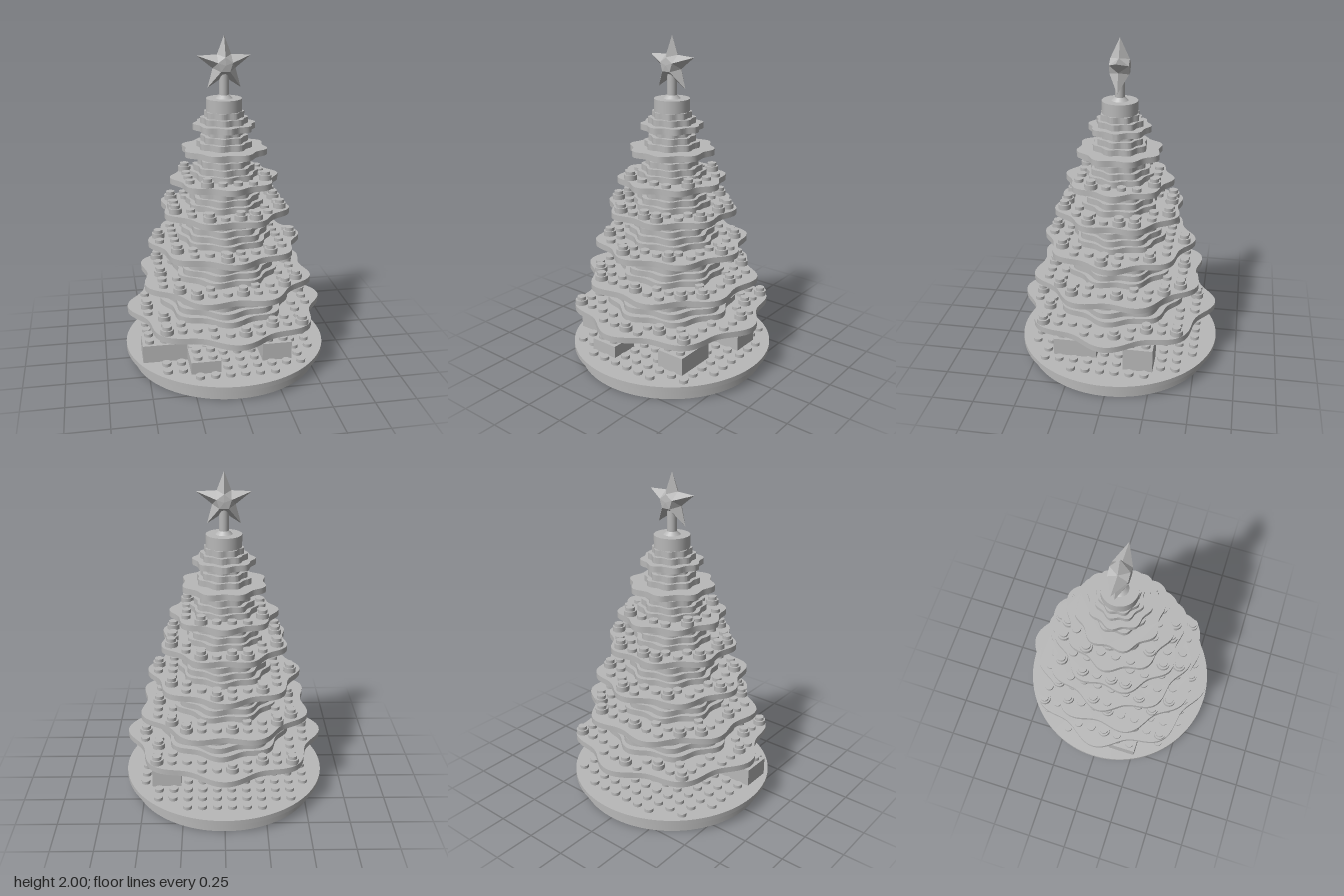
import * as THREE from 'three';
import { mergeGeometries, toCreasedNormals } from 'three/addons/utils/BufferGeometryUtils.js';

const PITCH = 0.0888, STEP = 0.0355, TREE_Y = 0.325, PLATE_TOP = 0.105;
const grey = new THREE.MeshStandardMaterial({ color: 0xb8b8b8 });
grey.name = 'plain grey';

// first layer index, tip radius, and radii of the lowest and highest step above it
const TIERS = [
  { at: 0, r: 0.605, from: 0.40, to: 0.265 },
  { at: 6, r: 0.535, from: 0.325, to: 0.22 },
  { at: 12, r: 0.465, from: 0.285, to: 0.182 },
  { at: 18, r: 0.395, from: 0.235, to: 0.158 },
  { at: 23, r: 0.325, from: 0.205, to: 0.135 },
  { at: 28, r: 0.257, from: 0.165, to: 0.115 },
  { at: 32, r: 0.185, from: 0.14, to: 0.118 },
  { at: 35 },
];
// round ornaments of each tier as grid cells, repeated every quarter turn
const ORNAMENTS = [
  [[4.5, 4.5], [0.5, 5.5], [-4.5, 2.5]],
  [[4.5, 2.5], [-3.5, 3.5], [0.5, 4.5]],
  [[4.5, 0.5], [-3.5, 2.5]],
  [[1.5, 3.5], [-1.5, 3.5], [0.5, 3.5]],
  [[-1.5, 2.5]], [], [],
];

// eight-lobed outline with its tips at radius r
const lobed = (r, phase, a) => r * (0.945 + 0.055 * Math.cos(8 * (a - phase)));

function lobedPlate(r, phase, y) {
  const pts = [];
  for (let i = 0; i < 128; i++) {
    const a = (i / 128) * Math.PI * 2, d = lobed(r, phase, a);
    pts.push(new THREE.Vector2(d * Math.cos(a), -d * Math.sin(a)));
  }
  const g = new THREE.ExtrudeGeometry(new THREE.Shape(pts), { depth: STEP, bevelEnabled: false });
  g.rotateX(-Math.PI / 2).translate(0, y, 0);
  return toCreasedNormals(g, 0.6);
}

function cylinder(r, y0, y1, x = 0, z = 0, sides = 16, rTop = r) {
  return new THREE.CylinderGeometry(rTop, r, y1 - y0, sides).translate(x, (y0 + y1) / 2, z);
}
const stud = (x, y, z) => cylinder(0.027, y, y + 0.02, x, z);

function add(group, name, geometries) {
  const m = new THREE.Mesh(geometries.length > 1 ? mergeGeometries(geometries) : geometries[0], grey);
  m.name = name;
  group.add(m);
}

// calls fn for every stud position of the grid
function eachCell(fn) {
  for (let i = -6.5; i <= 6.5; i++)
    for (let j = -6.5; j <= 6.5; j++) fn(i * PITCH, j * PITCH, i, j);
}

function buildBase(group) {
  // rim with a stair-stepped hollow underneath
  const disc = new THREE.Shape().absarc(0, 0, 0.577, 0, Math.PI * 2);
  const quarter = [[5.5, 2.5], [4.5, 2.5], [4.5, 3.5], [3.5, 3.5], [3.5, 4.5], [2.5, 4.5], [2.5, 5.5]];
  const hole = [];
  for (let q = 0; q < 4; q++)
    for (const [x, y] of quarter)
      hole.push(new THREE.Vector2(x * PITCH, y * PITCH).rotateAround(new THREE.Vector2(), q * Math.PI / 2));
  disc.holes.push(new THREE.Path(hole));
  const rim = new THREE.ExtrudeGeometry(disc, { depth: 0.075, bevelEnabled: false, curveSegments: 64 });
  add(group, 'baseRim', [toCreasedNormals(rim.rotateX(-Math.PI / 2), 0.6)]);
  add(group, 'basePlate', [cylinder(0.62, 0.075, PLATE_TOP, 0, 0, 96)]);

  // hollow tubes under the plate
  const tubes = [];
  const profile = [[0.024, 0.075], [0.024, 0.004], [0.036, 0.004], [0.036, 0.075]].map(p => new THREE.Vector2(...p));
  for (let i = -5; i <= 5; i++)
    for (let j = -5; j <= 5; j++)
      if (Math.abs(i) + Math.abs(j) <= 7) {
        const tube = new THREE.LatheGeometry(profile, 14).toNonIndexed();
        tube.computeVertexNormals();
        tubes.push(tube.translate(i * PITCH, 0, j * PITCH));
      }
  add(group, 'underTubes', tubes);

  const studs = [];
  eachCell((x, z) => {
    const d = Math.hypot(x, z);
    if (d > 0.13 && d < 0.575) studs.push(stud(x, PLATE_TOP, z));
  });
  add(group, 'baseStuds', studs);
}

function buildGift(group, x0, x1, z0, z1, top) {
  const parts = [new THREE.BoxGeometry(x1 - x0, top - PLATE_TOP, z1 - z0)
    .translate((x0 + x1) / 2, (top + PLATE_TOP) / 2, (z0 + z1) / 2)];
  for (let x = x0 + PITCH / 2; x < x1; x += PITCH)
    for (let z = z0 + PITCH / 2; z < z1; z += PITCH) parts.push(stud(x, top, z));
  add(group, 'giftBrick', parts);
}

function buildTier(group, t) {
  const tier = TIERS[t], count = TIERS[t + 1].at - tier.at - 1;
  const y = TREE_Y + tier.at * STEP, top = y + STEP;
  const phase = (t % 2) * Math.PI / 8, next = ((t + 1) % 2) * Math.PI / 8;
  add(group, 'branchPlate', [lobedPlate(tier.r, phase, y)]);

  // shrinking steps that twist toward the next tier
  const steps = [];
  for (let k = 1; k <= count; k++) {
    const f = count > 1 ? (k - 1) / (count - 1) : 0;
    steps.push(lobedPlate(THREE.MathUtils.lerp(tier.from, tier.to, f),
      THREE.MathUtils.lerp(phase, next, k / (count + 1)), y + k * STEP));
  }
  add(group, 'foliageSteps', steps);

  // round ornaments
  const taken = new Set(), rounds = [], studs = [];
  for (const cell of ORNAMENTS[t]) {
    let [i, j] = cell;
    for (let q = 0; q < 4; q++) {
      const x = i * PITCH, z = j * PITCH;
      taken.add(i + ',' + j);
      rounds.push(cylinder(0.038, top, top + 0.03, x, z), stud(x, top + 0.03, z));
      [i, j] = [j, -i];
    }
  }
  if (rounds.length) add(group, 'ornaments', rounds);

  // bare studs on the exposed ledge
  if (t < 5) eachCell((x, z, i, j) => {
    const d = Math.hypot(x, z), edge = lobed(tier.r, phase, Math.atan2(z, x));
    if (d > tier.from + 0.01 && d + 0.028 < edge && !taken.has(i + ',' + j)) studs.push(stud(x, top, z));
  });
  if (studs.length) add(group, 'branchStuds', studs);
}

// five-pointed star with ridged arms and a nearly flat middle on both faces
function buildStar() {
  const pos = [], tri = (...p) => p.forEach(v => pos.push(...v));
  const at = (r, k, z) => {
    const a = Math.PI / 2 + k * Math.PI / 5;
    return [r * Math.cos(a), r * Math.sin(a), z];
  };
  for (const s of [1, -1])
    for (let k = 0; k < 10; k += 2) {
      const tip = at(0.165, k, 0), ridge = at(0.045, k, s * 0.056), nextRidge = at(0.045, k + 2, s * 0.056);
      const left = at(0.07, k + 1, 0), right = at(0.07, k - 1, 0), mid = [0, 0, s * 0.06];
      const faces = [[tip, left, ridge], [tip, ridge, right], [ridge, left, nextRidge], [ridge, nextRidge, mid]];
      for (const [a, b, c] of faces) s > 0 ? tri(a, b, c) : tri(a, c, b);
    }
  const g = new THREE.BufferGeometry();
  g.setAttribute('position', new THREE.Float32BufferAttribute(pos, 3));
  g.computeVertexNormals();
  return g.translate(0, 1.835, 0);
}

export function createModel() {
  const group = new THREE.Group();
  group.name = 'brickTree';
  buildBase(group);

  // gifts around the trunk
  buildGift(group, -0.535, -0.268, 0.088, 0.266, 0.215);
  buildGift(group, -0.268, -0.09, 0.266, 0.444, 0.18);
  buildGift(group, 0.175, 0.353, 0.09, 0.356, 0.215);
  buildGift(group, 0.266, 0.444, -0.266, -0.088, 0.25);

  // trunk and foliage
  add(group, 'trunk', [cylinder(0.105, PLATE_TOP, TREE_Y, 0, 0, 40)]);
  for (let t = 0; t < 7; t++) buildTier(group, t);

  // crown, stem and star
  add(group, 'crown', [cylinder(0.105, 1.5675, 1.64, 0, 0, 40)]);
  add(group, 'starStem', [cylinder(0.05, 1.64, 1.66, 0, 0, 24, 0.029), cylinder(0.028, 1.65, 1.82, 0, 0, 24)]);
  add(group, 'star', [buildStar()]);
  return group;
}
